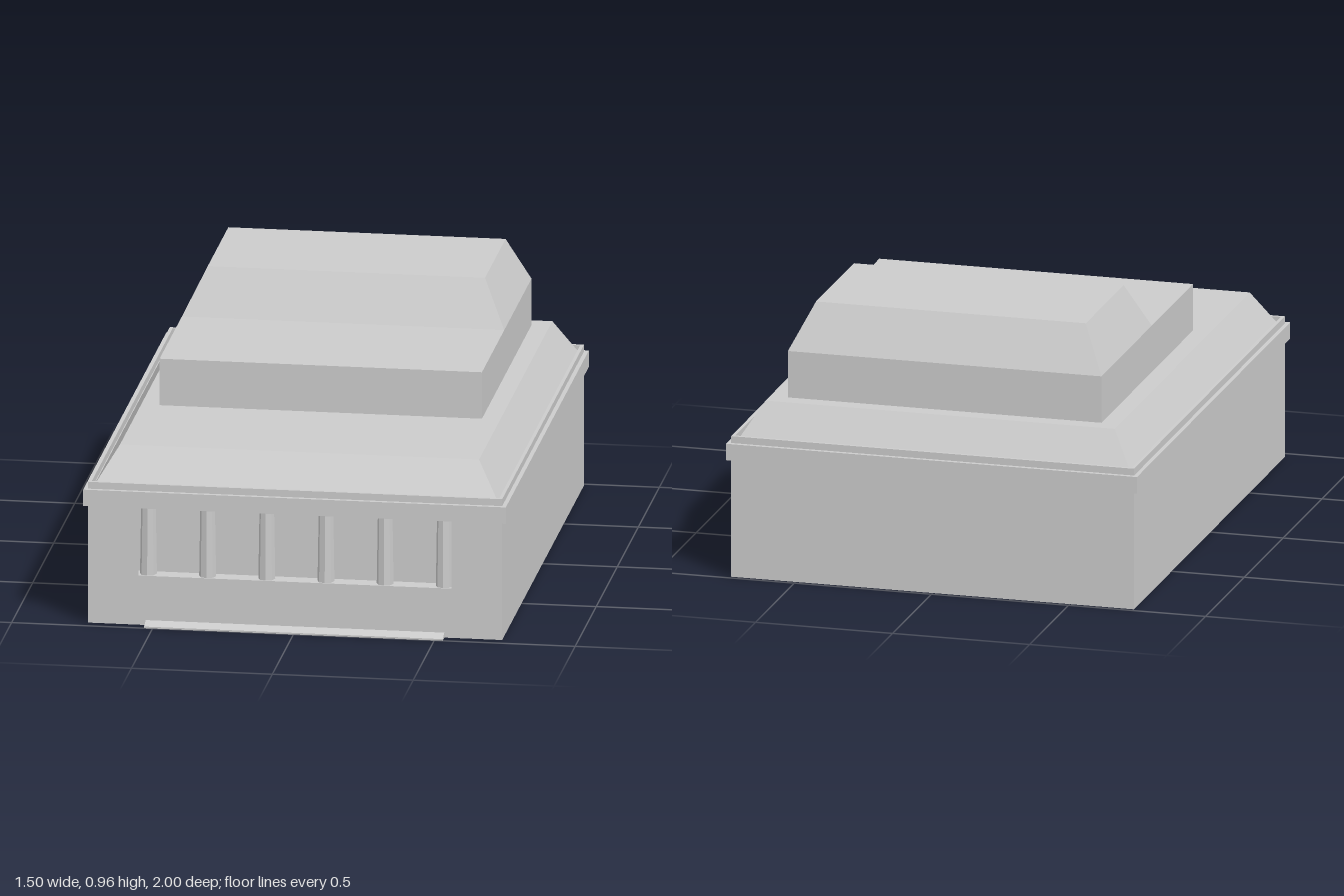
import * as THREE from 'three';

export function createModel() {
  const model = new THREE.Group();
  model.name = 'building';
  const stone = new THREE.MeshStandardMaterial({ color: 0xcccccc, side: THREE.DoubleSide });
  stone.name = 'pale grey stone';

  const add = (name, geometry, x = 0, y = 0, z = 0) => {
    const mesh = new THREE.Mesh(geometry, stone);
    mesh.name = name;
    mesh.position.set(x, y, z);
    model.add(mesh);
    return mesh;
  };

  // Block from y0 to y1 and z0 to z1, its top drawn in by inset on all sides
  const block = (name, halfX, y0, y1, z0, z1, inset = 0) => {
    const w = halfX * 2, d = z1 - z0;
    const g = new THREE.BoxGeometry(w, y1 - y0, d);
    const p = g.attributes.position;
    for (let i = 0; i < p.count; i++) {
      if (p.getY(i) > 0) {
        p.setX(i, p.getX(i) * (1 - 2 * inset / w));
        p.setZ(i, p.getZ(i) * (1 - 2 * inset / d));
      }
    }
    g.computeVertexNormals();
    return add(name, g, 0, (y0 + y1) / 2, (z0 + z1) / 2);
  };

  const W = 0.735, FRONT = 0.96, BACK = -0.985, WALL = 0.43;
  const SILL = 0.18, OPEN = 0.555, PORCH = 0.9;
  const depth = FRONT - BACK, midZ = (FRONT + BACK) / 2;

  // Hollow body, open underneath: sides and back
  for (const s of [-1, 1]) {
    add(s > 0 ? 'leftWall' : 'rightWall', new THREE.PlaneGeometry(depth, WALL), s * W, WALL / 2, midZ)
      .rotation.y = s * Math.PI / 2;
  }
  add('backWall', new THREE.PlaneGeometry(W * 2, WALL), 0, WALL / 2, BACK).rotation.y = Math.PI;

  // Front wall with one wide opening below the cornice
  const front = new THREE.Shape([
    [-W, 0], [W, 0], [W, WALL], [OPEN, WALL], [OPEN, SILL], [-OPEN, SILL], [-OPEN, WALL], [-W, WALL],
  ].map(([x, y]) => new THREE.Vector2(x, y)));
  add('frontWall', new THREE.ShapeGeometry(front), 0, 0, FRONT);

  // Shallow porch behind the opening
  add('porchFloor', new THREE.PlaneGeometry(W * 2, FRONT - PORCH), 0, SILL, (FRONT + PORCH) / 2)
    .rotation.x = -Math.PI / 2;
  add('porchBackWall', new THREE.PlaneGeometry(W * 2, WALL - SILL), 0, (WALL + SILL) / 2, PORCH);

  // Row of six slightly tapered columns
  for (let i = 0; i < 6; i++) {
    const g = new THREE.CylinderGeometry(0.026, 0.03, WALL - SILL, 8).toNonIndexed();
    g.computeVertexNormals();
    add('column', g, -0.525 + i * 0.21, (WALL + SILL) / 2, 0.928);
  }

  // Low sloped doorstep
  const step = new THREE.Shape([[0, 0], [0.04, 0], [0.04, 0.006], [0, 0.018]]
    .map(([x, y]) => new THREE.Vector2(x, y)));
  const stepGeometry = new THREE.ExtrudeGeometry(step, { depth: 1.06, bevelEnabled: false });
  add('doorstep', stepGeometry, 0.53, 0, FRONT).rotation.y = -Math.PI / 2;
  model.children.at(-1).position.x = 0.53;

  // Cornice, then a thin parapet ring around the roof
  block('cornice', 0.75, WALL, 0.49, -1, 0.975);
  const rect = (Type, x, z) => new Type([[-x, -z], [x, -z], [x, z], [-x, z]]
    .map(([a, b]) => new THREE.Vector2(a, b)));
  const ring = rect(THREE.Shape, W, depth / 2);
  ring.holes.push(rect(THREE.Path, W - 0.012, depth / 2 - 0.012));
  add('parapet', new THREE.ExtrudeGeometry(ring, { depth: 0.025, bevelEnabled: false }), 0, 0.49, midZ)
    .rotation.x = -Math.PI / 2;

  // Stepped roof
  block('mainRoof', 0.72, 0.49, 0.625, -0.97, 0.936, 0.083);
  block('upperStorey', 0.572, 0.625, 0.795, -0.828, 0.35);
  block('upperRoof', 0.572, 0.795, 0.96, -0.828, -0.18, 0.08);

  return model;
}
